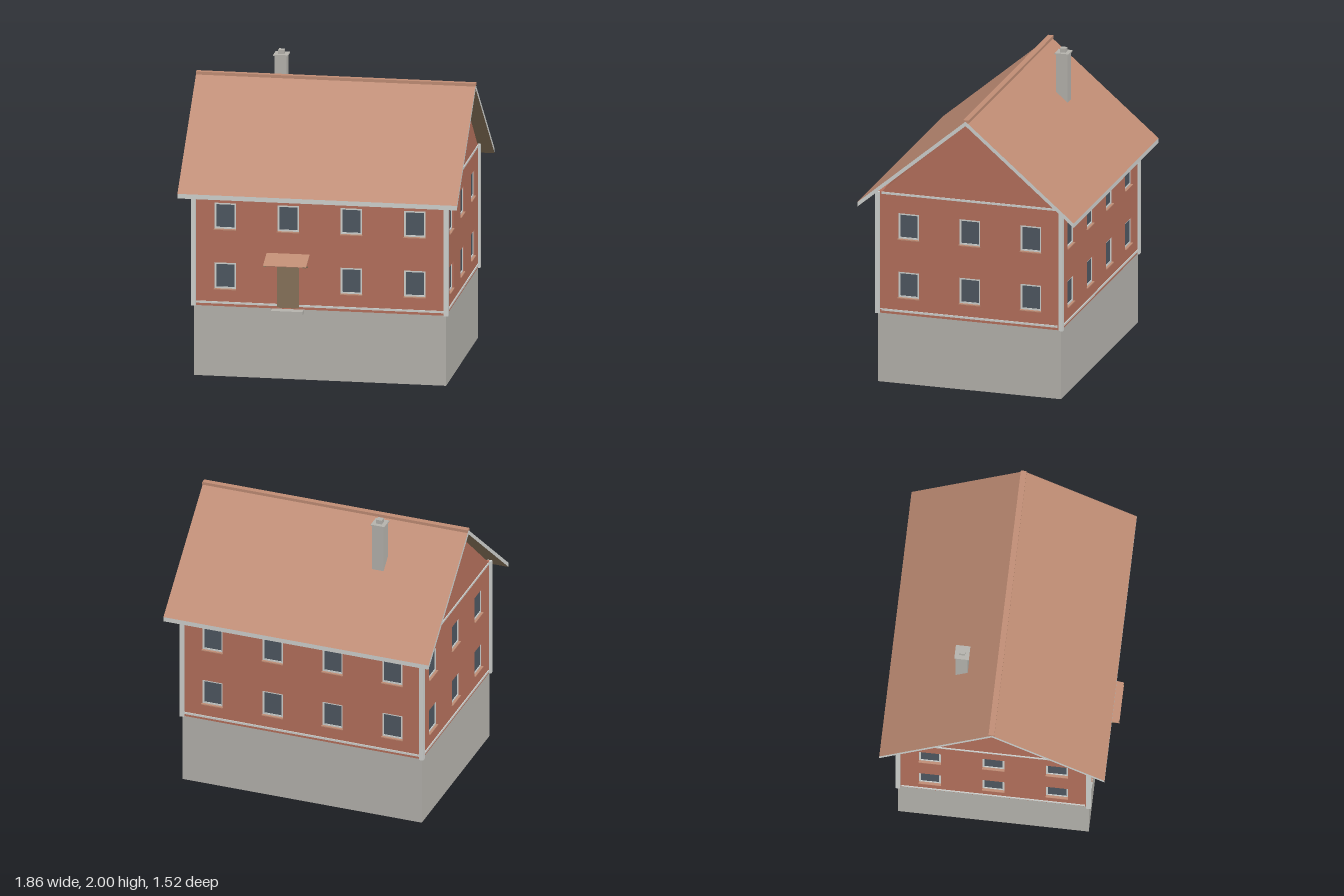
import * as THREE from 'three';

const mat = (name, color, side = THREE.FrontSide) => {
  const m = new THREE.MeshStandardMaterial({ color, side });
  m.name = name;
  return m;
};

export function createModel() {
  const plaster = mat('red wall', 0xb4705c, THREE.DoubleSide);
  const tile = mat('roof tile', 0xbf8c74, THREE.DoubleSide);
  const stone = mat('grey concrete', 0xb4b2ac, THREE.DoubleSide);
  const trim = mat('pale trim', 0xcfd1ce);
  const glass = mat('dark glass', 0x4e5761);
  const wood = mat('brown wood', 0x87725a);

  const house = new THREE.Group();
  house.name = 'house';
  const CZ = -0.02, HX = 0.84, HZ = 0.63, BASE = 0.475, EAVE = 1.315, T = 0.025;
  const SLOPE = 0.848, UNDER = 1.855;

  const add = (parent, name, geo, material, x = 0, y = 0, z = 0) => {
    const m = new THREE.Mesh(geo, material);
    m.name = name;
    m.position.set(x, y, z);
    parent.add(m);
    return m;
  };
  const box = (parent, name, material, w, h, d, x, y, z) =>
    add(parent, name, new THREE.BoxGeometry(w, h, d), material, x, y, z);
  const rect = (x, y, w, h, Type = THREE.Path) => {
    const p = new Type();
    p.moveTo(x - w / 2, y - h / 2);
    p.lineTo(x + w / 2, y - h / 2);
    p.lineTo(x + w / 2, y + h / 2);
    p.lineTo(x - w / 2, y + h / 2);
    p.closePath();
    return p;
  };
  const extrude = (shape, depth) => new THREE.ExtrudeGeometry(shape, { depth, bevelEnabled: false });

  // Foundation: four sides, open above and below
  const foundation = new THREE.BoxGeometry(HX * 2, BASE, HZ * 2);
  const idx = Array.from(foundation.index.array);
  foundation.setIndex([...idx.slice(0, 12), ...idx.slice(24)]);
  foundation.clearGroups();
  add(house, 'foundation', foundation, stone, 0, BASE / 2, CZ);

  // Window set back in its opening, with a small sill
  const W = 0.145, H = 0.178, ROWS = [0.682, 1.087];
  const addWindow = (wall, x, y) => {
    const g = new THREE.Group();
    g.name = 'window';
    g.position.set(x, y, 0);
    const ring = rect(0, 0, W, H, THREE.Shape);
    ring.holes.push(rect(0, 0, W - 0.024, H - 0.024));
    add(g, 'windowFrame', extrude(ring, 0.012), trim, 0, 0, -0.02);
    box(g, 'windowPane', glass, W - 0.02, H - 0.02, 0.006, 0, 0, -0.016);
    box(g, 'windowSill', tile, W + 0.004, 0.006, 0.025, 0, -H / 2 - 0.002, -0.004);
    wall.add(g);
  };

  // Wall panel: outer face on local z = 0, thickness going inward
  const addWall = (name, half, gable, columns, doorX = null) => {
    const wall = new THREE.Group();
    wall.name = name;
    const s = new THREE.Shape();
    s.moveTo(-half, BASE);
    s.lineTo(half, BASE);
    s.lineTo(half, EAVE);
    if (gable) s.lineTo(0, UNDER);
    s.lineTo(-half, EAVE);
    s.closePath();
    for (const x of columns) for (const y of ROWS) {
      if (doorX === x && y === ROWS[0]) continue;
      s.holes.push(rect(x, y, W, H));
      addWindow(wall, x, y);
    }
    if (doorX !== null) {
      s.holes.push(rect(doorX, 0.625, 0.148, 0.292));
      box(wall, 'door', wood, 0.148, 0.292, 0.012, doorX, 0.625, -0.014);
    }
    add(wall, 'wallPanel', extrude(s, T), plaster, 0, 0, -T);

    // Horizontal trim, interrupted by the door
    const band = (a, b, y) =>
      box(wall, 'trimBand', trim, b - a, 0.014, T + 0.012, (a + b) / 2, y, -T / 2);
    if (doorX === null) band(-half, half, 0.5);
    else {
      band(-half, doorX - 0.074, 0.5);
      band(doorX + 0.074, half, 0.5);
    }
    if (gable) band(-half, half, 1.307);
    house.add(wall);
    return wall;
  };

  const cols = [-0.632, -0.212, 0.208, 0.63], sideCols = [-0.42, 0, 0.42];
  addWall('frontWall', HX, false, cols, cols[1]).position.z = CZ + HZ;
  const back = addWall('backWall', HX, false, cols.map((x) => -x));
  back.position.z = CZ - HZ;
  back.rotation.y = Math.PI;
  for (const s of [1, -1]) {
    const side = addWall(s > 0 ? 'leftWall' : 'rightWall', HZ - T, true, sideCols);
    side.position.set(s * HX, 0, CZ);
    side.rotation.y = s * Math.PI / 2;
    // Corner boards
    for (const t of [1, -1])
      box(house, 'cornerBoard', trim, 0.03, EAVE - BASE, 0.03, s * HX, (EAVE + BASE) / 2, CZ + t * HZ);
  }

  // Roof slopes: sheared slabs, tiled above, boarded below, pale on the edges
  const RUN = 0.744, THICK = 0.031;
  for (const s of [1, -1]) {
    const geo = new THREE.BoxGeometry(1.86, THICK, RUN);
    geo.translate(0, UNDER + THICK / 2, RUN / 2);
    const p = geo.attributes.position;
    for (let i = 0; i < p.count; i++) p.setY(i, p.getY(i) - p.getZ(i) * SLOPE);
    geo.computeVertexNormals();
    const slope = add(house, s > 0 ? 'frontRoof' : 'backRoof', geo,
      [trim, trim, tile, wood, trim, trim], 0, 0, CZ);
    if (s < 0) slope.rotation.y = Math.PI;
  }
  box(house, 'roofRidge', tile, 1.86, 0.02, 0.038, 0, 1.885, CZ - 0.003);

  // Chimney with cap and flue
  const chimney = new THREE.Group();
  chimney.name = 'chimney';
  chimney.position.set(-0.405, 0, -0.275);
  box(chimney, 'chimneyStack', stone, 0.08, 0.44, 0.08, 0, 1.745, 0);
  box(chimney, 'chimneyCap', stone, 0.096, 0.008, 0.096, 0, 1.968, 0);
  box(chimney, 'chimneyFlue', stone, 0.04, 0.03, 0.04, 0, 1.985, 0);
  house.add(chimney);

  // Door step and canopy on two brackets
  box(house, 'doorStep', stone, 0.21, 0.025, 0.07, -0.212, 0.4625, 0.64);
  const canopy = box(house, 'doorCanopy', tile, 0.286, 0.004, 0.155, -0.212, 0.824, 0.682);
  canopy.rotation.x = Math.atan2(0.05, 0.146);
  for (const x of [-0.345, -0.085]) {
    const bracket = box(house, 'canopyBracket', wood, 0.012, 0.01, 0.15, x, 0.782, 0.682);
    bracket.rotation.x = -Math.atan2(0.033, 0.146);
  }
  return house;
}
